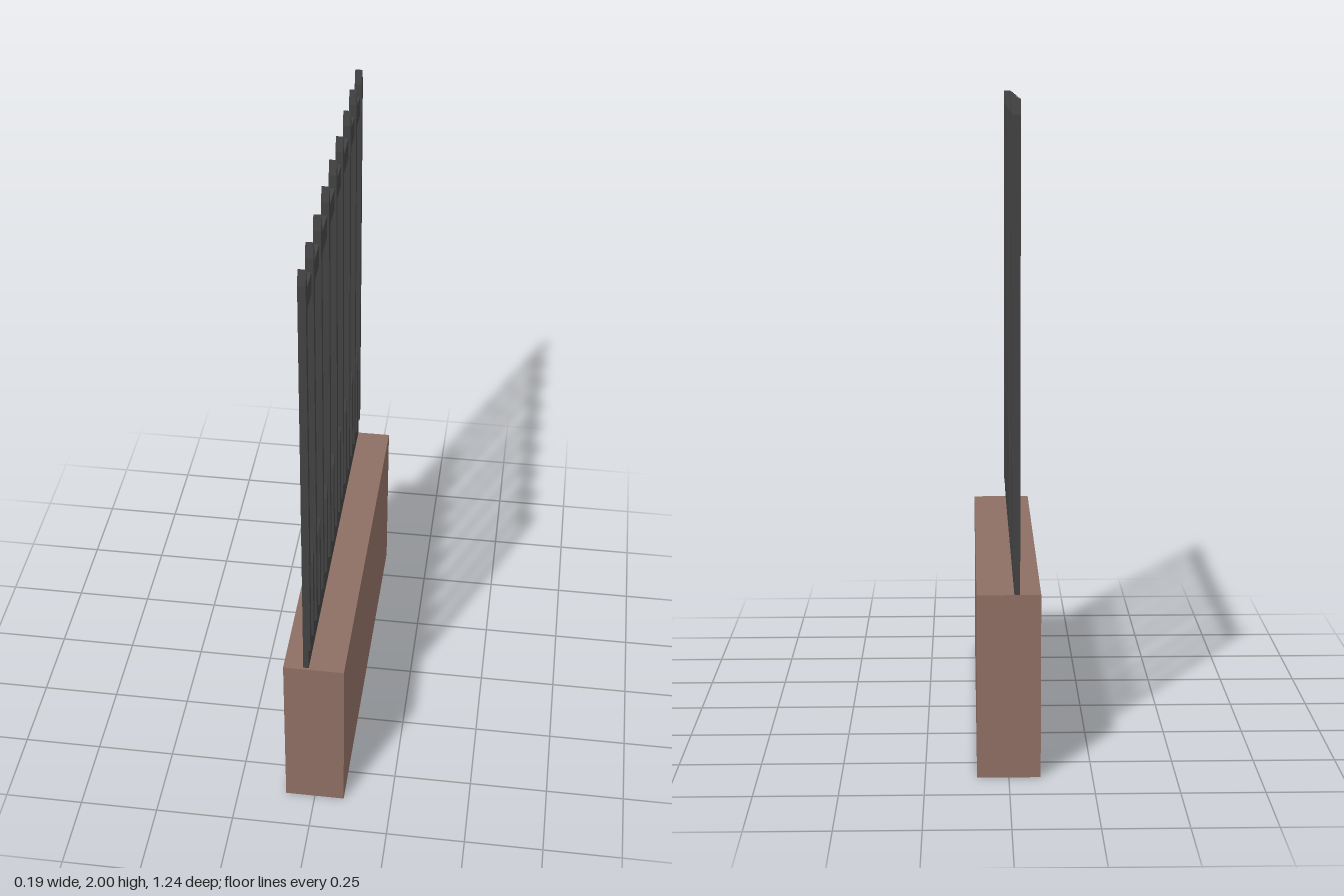
import * as THREE from 'three';

const brick = new THREE.MeshStandardMaterial({ color: 0x8d6e63 });
brick.name = 'brown wall';
const iron = new THREE.MeshStandardMaterial({ color: 0x424242 });
iron.name = 'dark iron';

// Box given by its limits on each axis
function block(name, [x0, x1], [y0, y1], [z0, z1], material) {
  const mesh = new THREE.Mesh(new THREE.BoxGeometry(x1 - x0, y1 - y0, z1 - z0), material);
  mesh.position.set((x0 + x1) / 2, (y0 + y1) / 2, (z0 + z1) / 2);
  mesh.name = name;
  return mesh;
}

// Flat bar with a gabled point, its profile extruded along x
function picketGeometry(height, depth) {
  const w = 0.012, shoulder = height - 0.045;
  const profile = new THREE.Shape([
    new THREE.Vector2(-w, 0),
    new THREE.Vector2(w, 0),
    new THREE.Vector2(w, shoulder),
    new THREE.Vector2(0, height),
    new THREE.Vector2(-w, shoulder),
  ]);
  return new THREE.ExtrudeGeometry(profile, { depth, bevelEnabled: false }).rotateY(Math.PI / 2);
}

function pickets(name, zs, x0, x1, y0, y1) {
  const row = new THREE.Group();
  row.name = name + 's';
  const geometry = picketGeometry(y1 - y0, x1 - x0);
  for (const z of zs) {
    const mesh = new THREE.Mesh(geometry, iron);
    mesh.position.set(x0, y0, z);
    mesh.name = name;
    row.add(mesh);
  }
  return row;
}

export function createModel() {
  const model = new THREE.Group();
  model.name = 'fencePanel';

  // Low wall
  model.add(block('wall', [-0.095, 0.095], [0, 0.565], [-0.62, 0.62], brick));

  // Horizontal rails
  model.add(block('bottomRail', [-0.033, -0.016], [0.56, 0.64], [-0.618, 0.612], iron));
  model.add(block('topRail', [-0.031, -0.016], [1.843, 1.912], [-0.618, 0.612], iron));

  // Tall pickets and the short ones between them
  const tall = [0.6, 0.459, 0.31, 0.15, -0.008, -0.154, -0.321, -0.465, -0.606];
  const short = [0.53, 0.387, 0.228, 0.069, -0.082, -0.239, -0.393, -0.534];
  model.add(pickets('tallPicket', tall, -0.033, -0.01, 0.638, 2));
  model.add(pickets('shortPicket', short, -0.023, -0.01, 0.638, 0.985));

  return model;
}
